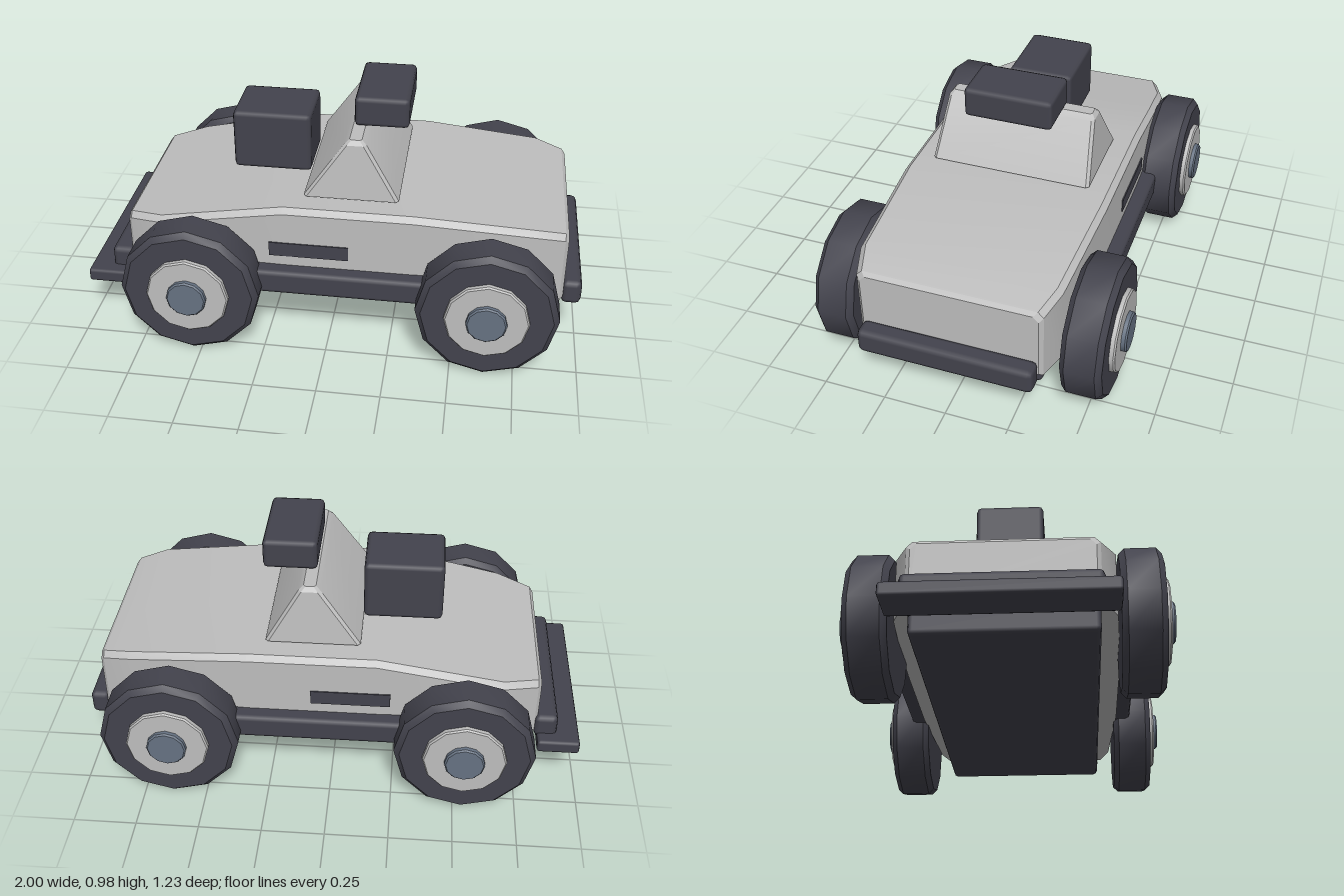
import * as THREE from 'three';
import { toCreasedNormals } from 'three/addons/utils/BufferGeometryUtils.js';
import { RoundedBoxGeometry } from 'three/addons/geometries/RoundedBoxGeometry.js';

const mat = (name, color) => Object.assign(new THREE.MeshStandardMaterial({ color }), { name });

// Skin a list of rings (each a list of [x, y, z]) and cap both ends
function loft(rings, crease) {
  const n = rings[0].length, last = (rings.length - 1) * n, index = [];
  for (let r = 0; r < rings.length - 1; r++) {
    for (let i = 0; i < n; i++) {
      const a = r * n + i, b = r * n + (i + 1) % n;
      index.push(a, b, b + n, a, b + n, a + n);
    }
  }
  for (let i = 1; i < n - 1; i++) {
    index.push(0, i + 1, i, last, last + i, last + i + 1);
  }
  const g = new THREE.BufferGeometry();
  g.setAttribute('position', new THREE.Float32BufferAttribute(rings.flat(2), 3));
  g.setIndex(index);
  return toCreasedNormals(g, crease);
}

// Twelve-sided disc with a chamfered rim, axis along z
function disc(radius, depth, bevel) {
  const h = depth / 2;
  const profile = [[0, -h], [radius - bevel, -h], [radius, bevel - h],
    [radius, h - bevel], [radius - bevel, h], [0, h]];
  const g = new THREE.LatheGeometry(profile.map(p => new THREE.Vector2(...p)), 12);
  return toCreasedNormals(g.rotateX(Math.PI / 2), 0.6);
}

export function createModel() {
  const car = new THREE.Group();
  car.name = 'car';
  const paint = mat('light grey paint', 0xbebebe);
  const dark = mat('dark trim', 0x43434d);
  const steel = mat('blue grey steel', 0x667282);

  function add(name, geometry, material, x = 0, y = 0, z = 0) {
    const mesh = new THREE.Mesh(geometry, material);
    mesh.name = name;
    mesh.position.set(x, y, z);
    car.add(mesh);
    return mesh;
  }
  // Chamfered block given by its limits
  function block(name, x0, x1, y0, y1, z0, z1, bevel = 0.018) {
    const g = new RoundedBoxGeometry(x1 - x0, y1 - y0, z1 - z0, 1, bevel);
    add(name, g, dark, (x0 + x1) / 2, (y0 + y1) / 2, (z0 + z1) / 2);
  }

  // Body: stations along x as [x, half width, top, bottom]
  const c = 0.022;
  const stations = [
    [-0.828, 0.33, 0.475, 0.255], [-0.815, 0.345, 0.49, 0.245], [-0.675, 0.402, 0.516, 0.245],
    [-0.47, 0.412, 0.556, 0.245], [-0.18, 0.42, 0.608, 0.245], [0.33, 0.42, 0.608, 0.245],
    [0.8, 0.395, 0.572, 0.245], [0.913, 0.36, 0.545, 0.245], [0.927, 0.345, 0.53, 0.255],
  ];
  add('body', loft(stations.map(([x, w, t, b]) => [
    [x, b, -w], [x, t - c, -w], [x, t, c - w], [x, t, w - c], [x, t - c, w], [x, b, w],
  ]), 0.4), paint);

  // Cabin: levels along y as [y, x from, x to, half depth, corner cut]
  const levels = [
    [0.62, -0.11, 0.265, 0.326, 0.012],
    [0.845, 0.046, 0.134, 0.303, 0.012],
    [0.863, 0.066, 0.114, 0.288, 0.008],
  ];
  add('cabin', loft(levels.map(([y, a, b, w, k]) => [
    [a, y, k - w], [a, y, w - k], [a + k, y, w], [b - k, y, w],
    [b, y, w - k], [b, y, k - w], [b - k, y, -w], [a + k, y, -w],
  ]), 0.4), paint);

  // Dark blocks
  block('roofBox', 0.07, 0.285, 0.863, 0.985, -0.177, 0.177);
  block('engineBox', -0.427, -0.11, 0.618, 0.867, -0.133, 0.133);
  block('chassis', -0.76, 0.87, 0.153, 0.29, -0.34, 0.34);
  block('frontBumper', 0.92, 1.0, 0.218, 0.32, -0.345, 0.345, 0.022);
  block('rearBumper', -0.91, -0.815, 0.218, 0.32, -0.355, 0.355, 0.022);
  block('rearPlate', -1.0, -0.83, 0.185, 0.24, -0.41, 0.41, 0.012);

  for (const side of [1, -1]) {
    // Side skirts and vents
    block('sideSkirt', -0.5, 0.6, 0.25, 0.352, side * 0.42 - 0.06, side * 0.42 + 0.06);
    add('sideVent', new THREE.BoxGeometry(0.315, 0.06, 0.009), dark, -0.077, 0.426, side * 0.42);

    // Wheels
    for (const x of [-0.533, 0.633]) {
      add('tyre', disc(0.277, 0.16, 0.022), dark, x, 0.281, side * 0.49);
      add('rim', disc(0.164, 0.04, 0.006), paint, x, 0.281, side * 0.572);
      add('hubCap', disc(0.079, 0.05, 0.006), steel, x, 0.281, side * 0.588);
    }
  }
  return car;
}
